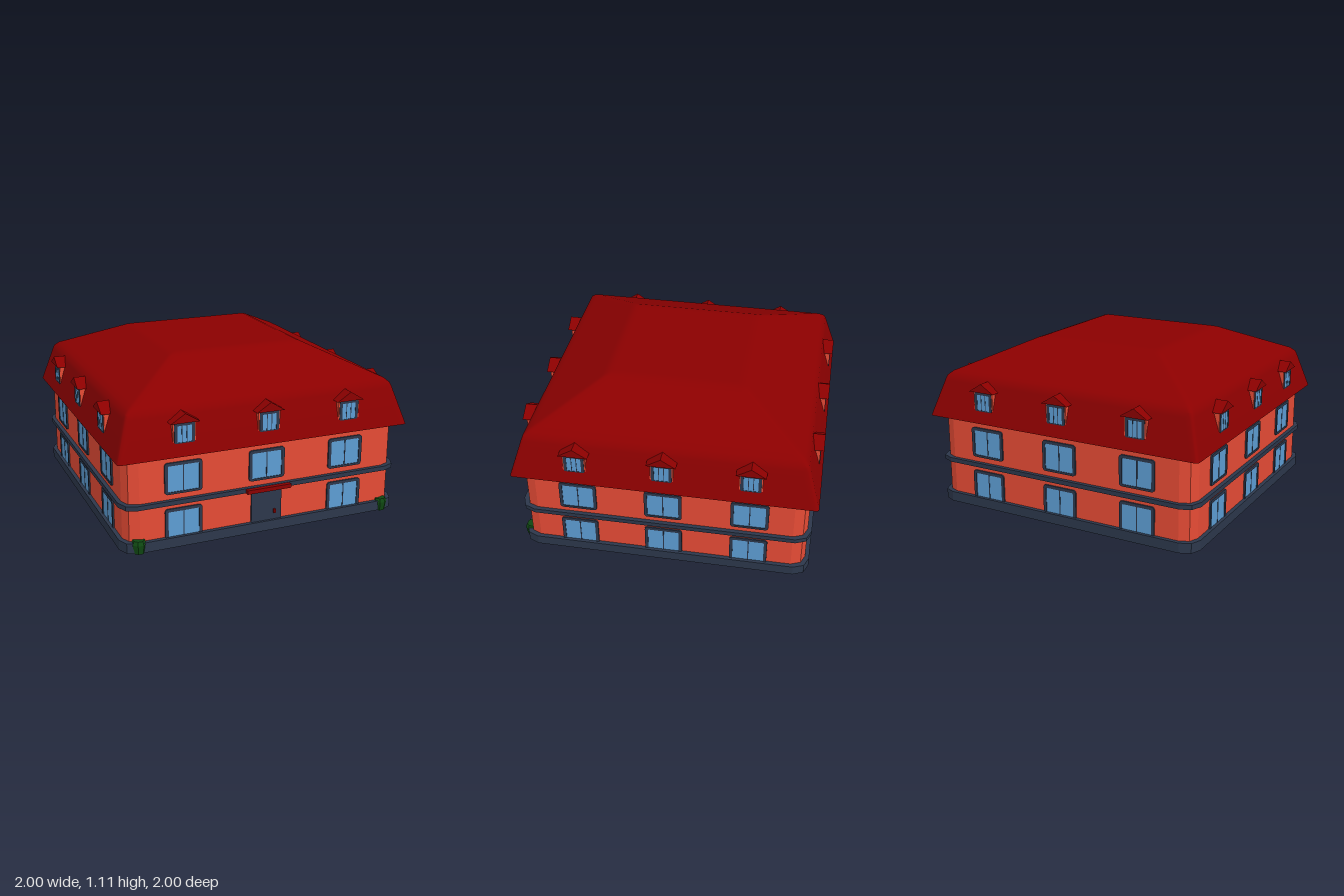
import * as THREE from 'three';
import { toCreasedNormals } from 'three/addons/utils/BufferGeometryUtils.js';

const material = (name, color) => {
  const m = new THREE.MeshStandardMaterial({ color });
  m.name = name;
  return m;
};

// Rectangle outline with rounded corners, centred on (cx, cy)
function roundedRect(w, h, r, cx = 0, cy = 0, Type = THREE.Shape) {
  const s = new Type();
  const x = w / 2 - r, y = h / 2 - r;
  s.absarc(cx + x, cy + y, r, 0, Math.PI / 2);
  s.absarc(cx - x, cy + y, r, Math.PI / 2, Math.PI);
  s.absarc(cx - x, cy - y, r, Math.PI, Math.PI * 1.5);
  s.absarc(cx + x, cy - y, r, Math.PI * 1.5, Math.PI * 2);
  s.closePath();
  return s;
}

const extrude = (shape, depth, curveSegments = 3) =>
  new THREE.ExtrudeGeometry(shape, { depth, bevelEnabled: false, curveSegments });

// Square slab with two-facet corners, standing between two heights
function slab(half, corner, y0, y1) {
  return extrude(roundedRect(half * 2, half * 2, corner), y1 - y0, 1)
    .rotateX(-Math.PI / 2).translate(0, y0, 0);
}

// Mansard roof lofted through square rings of [half width, height]
function roofGeometry() {
  const rings = [[1, 0.613], [0.925, 0.856], [0.914, 0.886], [0.885, 0.913], [0.85, 0.929],
    [0.49, 1.097], [0.475, 1.104], [0.445, 1.113], [0.41, 1.113]];
  const r = 0.02, ext = 0.03, pos = [], idx = [], n = 24;
  for (const [h, y] of rings) {
    for (let k = 0; k < 4; k++) {
      const a = k * Math.PI / 2, c = h - r;
      const corner = [[h, c - ext]];
      for (let i = 0; i < 4; i++) {
        const t = i * Math.PI / 6;
        corner.push([c + r * Math.cos(t), c + r * Math.sin(t)]);
      }
      corner.push([c - ext, h]);
      for (const [u, v] of corner) {
        pos.push(u * Math.cos(a) - v * Math.sin(a), y, -(u * Math.sin(a) + v * Math.cos(a)));
      }
    }
  }
  const top = (rings.length - 1) * n, low = rings.length * n;
  pos.push(0, rings[0][1], 0, 0, rings[rings.length - 1][1], 0);
  for (let j = 0; j < n; j++) {
    const k = (j + 1) % n;
    for (let i = 0; i < top; i += n) {
      idx.push(i + j, i + k, i + n + k, i + j, i + n + k, i + n + j);
    }
    idx.push(k, j, low, top + j, top + k, low + 1);
  }
  const g = new THREE.BufferGeometry();
  g.setAttribute('position', new THREE.Float32BufferAttribute(pos, 3));
  g.setIndex(idx);
  return toCreasedNormals(g, 0.55);
}

export function createModel() {
  const wall = material('brick orange', 0xe64b35);
  const trim = material('slate trim', 0x2c374b);
  const red = material('roof red', 0x8b0000);
  const glass = material('window blue', 0x5d9dd3);
  const green = material('shrub green', 0x0f4712);

  const model = new THREE.Group();
  model.name = 'house';
  const add = (parent, name, geometry, mat, x = 0, y = 0, z = 0) => {
    const mesh = new THREE.Mesh(geometry, mat);
    mesh.name = name;
    mesh.position.set(x, y, z);
    parent.add(mesh);
    return mesh;
  };
  const box = (w, h, d) => new THREE.BoxGeometry(w, h, d);

  // Main body
  add(model, 'walls', slab(0.943, 0.09, 0, 0.63), wall);
  add(model, 'plinth', slab(0.97, 0.1, 0.003, 0.07), trim);
  add(model, 'floorBand', slab(0.97, 0.1, 0.29, 0.32), trim);
  add(model, 'roof', roofGeometry(), red);

  // Shared window and dormer geometries
  const frameShape = roundedRect(0.248, 0.208, 0.02);
  frameShape.holes.push(roundedRect(0.206, 0.173, 0.008, 0, -0.003, THREE.Path));
  const frame = extrude(frameShape, 0.012);
  const pane = box(0.21, 0.18, 0.006);
  const mullion = box(0.007, 0.18, 0.006);

  const dormerFrameShape = roundedRect(0.134, 0.13, 0.012);
  dormerFrameShape.holes.push(roundedRect(0.094, 0.106, 0.004, 0, -0.006, THREE.Path));
  const dormerFrame = extrude(dormerFrameShape, 0.008);
  const dormerBody = box(0.15, 0.14, 0.16);
  const dormerPane = box(0.098, 0.11, 0.006);
  const dormerBar = box(0.005, 0.11, 0.005);
  const gable = new THREE.Shape([[-0.096, 0], [0.096, 0], [0, 0.06]]
    .map(([x, y]) => new THREE.Vector2(x, y)));
  const dormerRoof = extrude(gable, 0.145);

  function addWindow(parent, x, y) {
    const g = new THREE.Group();
    g.name = 'window';
    g.position.set(x, y, 0.943);
    add(g, 'windowFrame', frame, trim, 0, 0, -0.002);
    add(g, 'windowPane', pane, glass, 0, -0.003, 0.002);
    add(g, 'windowMullion', mullion, trim, 0, -0.003, 0.004);
    parent.add(g);
  }

  function addDormer(parent, x) {
    const g = new THREE.Group();
    g.name = 'dormer';
    g.position.set(x, 0, 0);
    add(g, 'dormerWalls', dormerBody, wall, 0, 0.76, 0.893);
    add(g, 'dormerFrame', dormerFrame, trim, 0, 0.757, 0.969);
    add(g, 'dormerPane', dormerPane, glass, 0, 0.751, 0.972);
    for (const s of [-1, 1]) add(g, 'dormerBar', dormerBar, trim, s * 0.016, 0.751, 0.9735);
    add(g, 'dormerRoof', dormerRoof, red, 0, 0.825, 0.85);
    parent.add(g);
  }

  // Four facades; the front one has a door in place of the middle ground window
  ['front', 'left', 'back', 'right'].forEach((side, k) => {
    const facade = new THREE.Group();
    facade.name = side + 'Facade';
    facade.rotation.y = k * Math.PI / 2;
    for (const x of [-0.567, 0, 0.567]) {
      addWindow(facade, x, 0.46);
      if (k !== 0 || x !== 0) addWindow(facade, x, 0.155);
      addDormer(facade, x);
    }
    model.add(facade);
  });

  // Entrance
  add(model, 'door', extrude(roundedRect(0.212, 0.225, 0.012), 0.02), trim, 0, 0.163, 0.934);
  add(model, 'doorHandle', box(0.014, 0.026, 0.016), red, 0.056, 0.13, 0.96);
  add(model, 'doorCanopy', box(0.306, 0.027, 0.07), red, 0, 0.304, 0.964);

  // Shrubs at the front corners, with a flat facet facing forward
  const shrub = toCreasedNormals(new THREE.LatheGeometry(
    [[0, 0], [0.041, 0], [0.049, 0.06], [0.038, 0.084], [0, 0.084]]
      .map(([x, y]) => new THREE.Vector2(x, y)), 8, Math.PI / 8), 0.1);
  for (const s of [-1, 1]) add(model, 'shrub', shrub, green, s * 0.862, 0, 0.938);

  return model;
}
